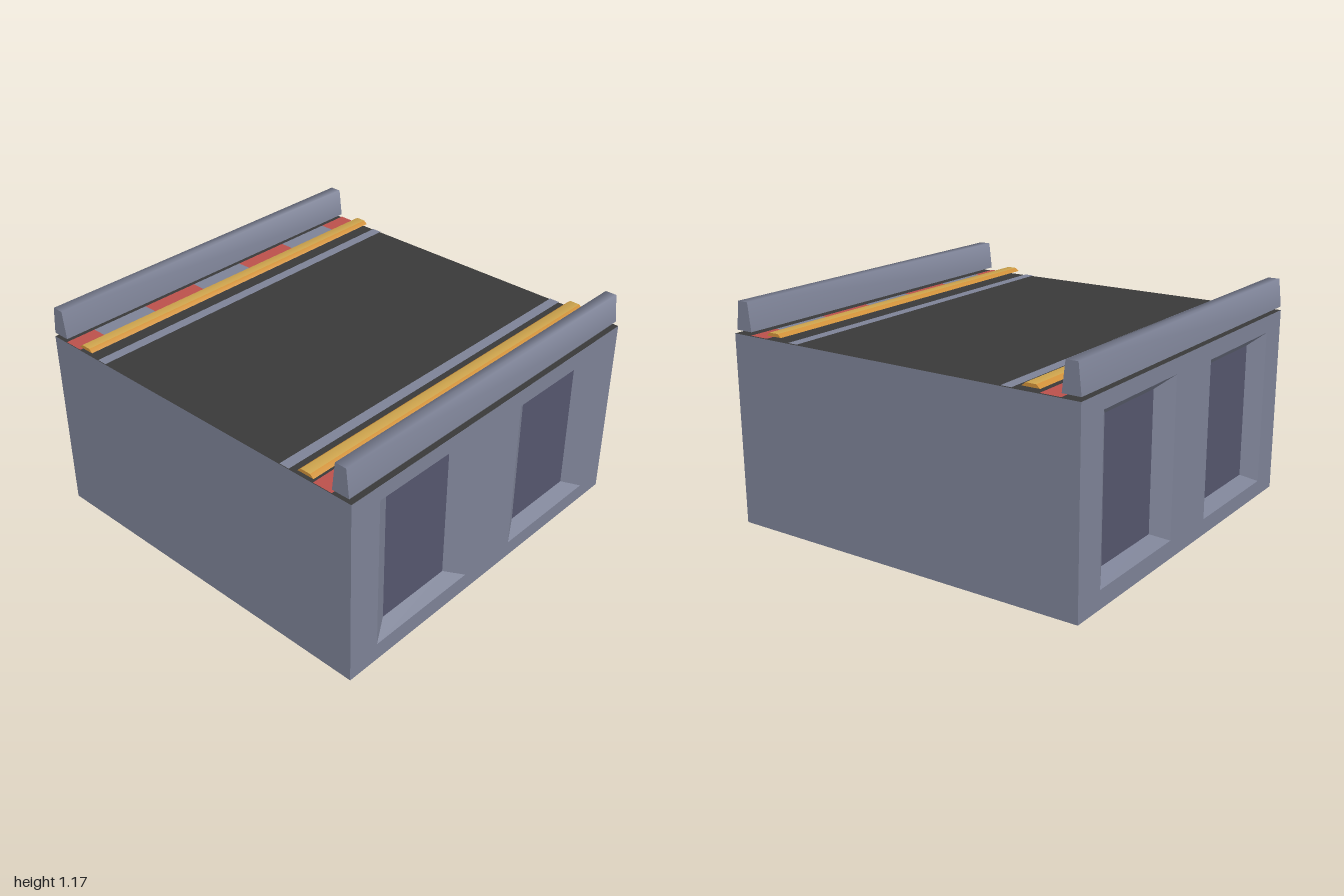
import * as THREE from 'three';

const paint = (name, color) => {
  const m = new THREE.MeshStandardMaterial({ color, side: THREE.DoubleSide });
  m.name = name;
  return m;
};

export function createModel() {
  const concrete = paint('concrete grey', 0x7d8296);
  const recess = paint('recess slate', 0x55566d);
  const asphalt = paint('asphalt', 0x393939);
  const red = paint('kerb red', 0xba504b);
  const yellow = paint('rail yellow', 0xcba24c);
  const orange = paint('rail orange', 0xd0913a);

  const model = new THREE.Group();
  model.name = 'roadBlock';
  const add = (parent, name, geometry, material) => {
    const mesh = new THREE.Mesh(geometry, material);
    mesh.name = name;
    parent.add(mesh);
    return mesh;
  };

  // flat polygon from corner points, counter-clockwise
  const polygon = (points) =>
    new THREE.ShapeGeometry(new THREE.Shape(points.map(([x, y]) => new THREE.Vector2(x, y))));
  const rect = (x0, y0, x1, y1) => [[x0, y0], [x1, y0], [x1, y1], [x0, y1]];

  // four sloping sides joining two rectangles at different depths
  const frame = (outer, zOuter, inner, zInner) => {
    const p = [];
    for (let i = 0; i < 4; i++) {
      const j = (i + 1) % 4;
      const a = [...outer[i], zOuter], b = [...outer[j], zOuter];
      const c = [...inner[j], zInner], d = [...inner[i], zInner];
      p.push(...a, ...b, ...c, ...a, ...c, ...d);
    }
    const g = new THREE.BufferGeometry();
    g.setAttribute('position', new THREE.Float32BufferAttribute(p, 3));
    g.computeVertexNormals();
    return g;
  };

  // open-bottomed body: plain front and back walls
  for (const s of [1, -1]) {
    const wall = add(model, s > 0 ? 'frontWall' : 'backWall', polygon(rect(-1, 0, 1, 1)), concrete);
    wall.position.z = s;
    wall.rotation.y = s > 0 ? 0 : Math.PI;
  }

  // side walls, each with two bevelled recesses
  for (const s of [1, -1]) {
    const side = new THREE.Group();
    side.name = s > 0 ? 'leftWall' : 'rightWall';
    side.position.x = s;
    side.rotation.y = s * Math.PI / 2;
    model.add(side);
    const face = new THREE.Shape(rect(-1, 0, 1, 1).map(([x, y]) => new THREE.Vector2(x, y)));
    for (const [u, dy] of [[-0.495, 0.005], [0.505, -0.005]]) {
      const outer = rect(u - 0.325, 0.09 + dy, u + 0.325, 0.916 + dy);
      const inner = rect(u - 0.217, 0.147 + dy, u + 0.217, 0.862 + dy);
      face.holes.push(new THREE.Path(outer.map(([x, y]) => new THREE.Vector2(x, y))));
      add(side, 'recessFrame', frame(outer, 0, inner, -0.06), concrete);
      add(side, 'recessPanel', polygon(inner), recess).position.z = -0.06;
    }
    add(side, 'sideFace', new THREE.ShapeGeometry(face), concrete);
  }

  // road surface
  const road = add(model, 'roadSurface', new THREE.PlaneGeometry(2, 2), asphalt);
  road.rotation.x = -Math.PI / 2;
  road.position.y = 1;

  const deck = new THREE.Group();
  deck.name = 'deck';
  deck.position.x = -0.0075;
  model.add(deck);

  // thin painted plate lying on the road
  const plate = (name, x0, x1, z0, z1, material) => {
    const m = add(deck, name, new THREE.PlaneGeometry(x1 - x0, z1 - z0), material);
    m.rotation.x = -Math.PI / 2;
    m.position.set((x0 + x1) / 2, 1.004, (z0 + z1) / 2);
  };

  // long bar of trapezoid section with softly shaded sides and flat ends
  const bar = (name, x, base, top, y0, y1, materials, capMaterial) => {
    const group = new THREE.Group();
    group.name = name;
    group.position.x = x;
    deck.add(group);
    const section = [[-base, y0], [-top, y1], [top, y1], [base, y0]];
    const skin = new THREE.PlaneGeometry(1, 1, 3, 1);
    const pos = skin.attributes.position;
    for (let i = 0; i < pos.count; i++) {
      const [px, py] = section[i % 4];
      pos.setXYZ(i, px, py, i < 4 ? -0.997 : 0.997);
    }
    skin.computeVertexNormals();
    for (let i = 0; i < 3; i++) skin.addGroup(i * 6, 6, i);
    add(group, name + 'Skin', skin, materials);
    for (const s of [1, -1]) {
      const cap = add(group, name + 'End', polygon([...section].reverse()), capMaterial);
      cap.position.z = s * 0.997;
      cap.rotation.y = s > 0 ? 0 : Math.PI;
    }
  };

  for (const s of [1, -1]) {
    const strip = (name, a, b, z0, z1, material) =>
      plate(name, Math.min(s * a, s * b), Math.max(s * a, s * b), z0, z1, material);

    strip('edgeLine', 0.592, 0.648, -1, 1, concrete);

    // alternating red and grey kerb
    const cuts = [-1, -0.83, -0.5, -0.167, 0.167, 0.5, 0.83, 1];
    for (let i = 0; i < 7; i++) {
      const isRed = i % 2 === 0;
      strip(isRed ? 'redKerb' : 'greyKerb', 0.79, 0.897, cuts[i], cuts[i + 1], isRed ? red : concrete);
    }

    bar('guideRail', s * 0.744, 0.047, 0.027, 1.02, 1.037, [orange, yellow, orange], orange);
    bar('barrier', s * 0.944, 0.048, 0.031, 1.02, 1.167, [concrete, concrete, concrete], concrete);
  }

  return model;
}
